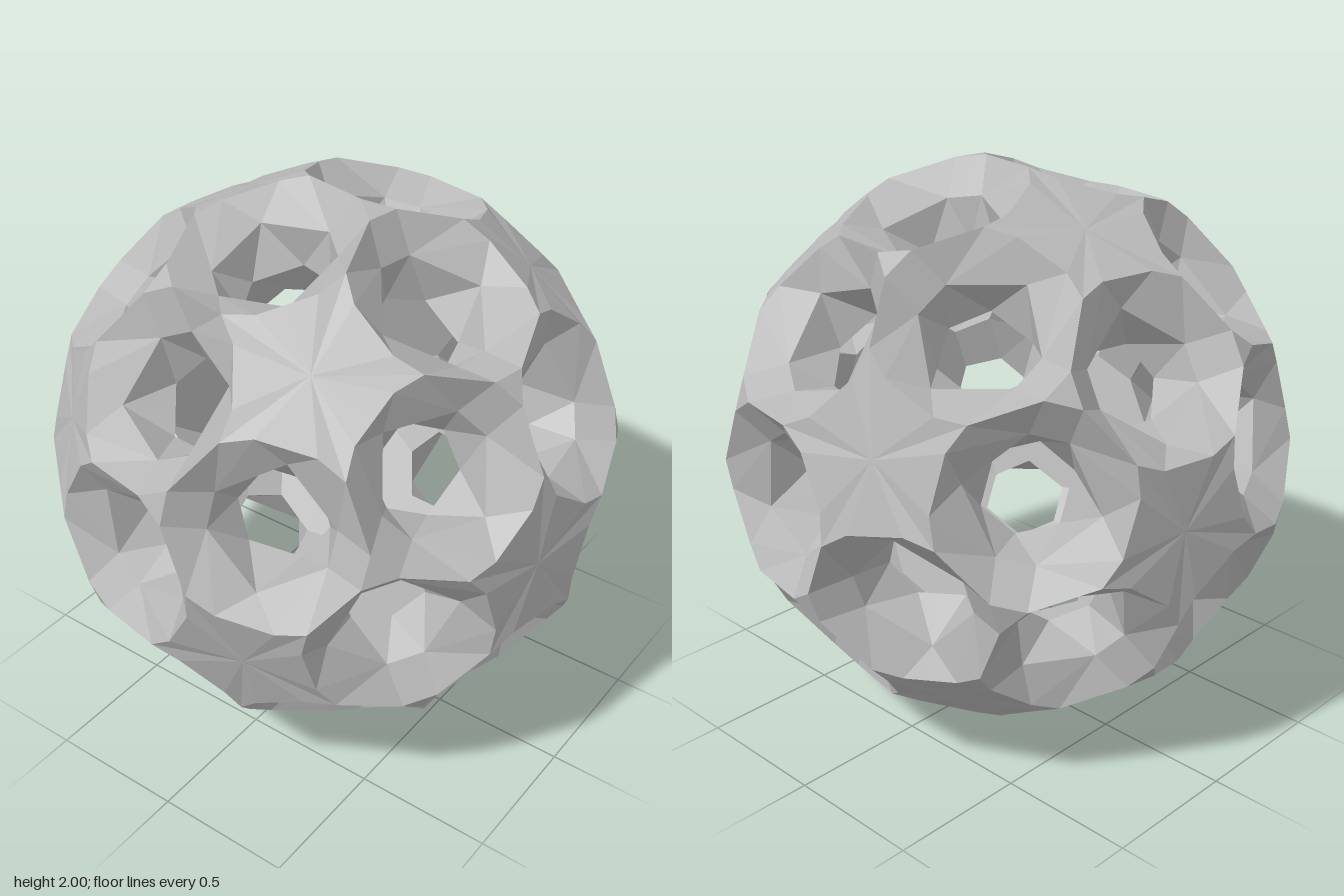
import * as THREE from 'three';

const V = (x, y, z) => new THREE.Vector3(x, y, z);

// Icosahedral axes, turned so that a rim edge lies at the top
function makeAxes() {
  const a = THREE.MathUtils.degToRad(10.3);
  const e1 = V(Math.cos(a), 0, Math.sin(a));
  const e2 = V(Math.sin(a), 0, -Math.cos(a));
  const p = (x, y, w) => e1.clone().multiplyScalar(x).addScaledVector(e2, w).add(V(0, y, 0));
  // five-fold axes: one along e2 and a ring of five around it, then the opposites
  const five = [p(0, 0, 1)];
  const s = 2 / Math.sqrt(5), c = 1 / Math.sqrt(5);
  for (let i = 0; i < 5; i++) {
    const t = Math.PI / 2 + i * Math.PI * 0.4;
    five.push(p(s * Math.cos(t), s * Math.sin(t), c));
  }
  five.push(...five.map(v => v.clone().negate()));
  const near = (v, w) => v.dot(w) > 0.4 && v.dot(w) < 0.5;
  const holes = [];
  for (let i = 0; i < 12; i++)
    for (let j = i + 1; j < 12; j++)
      if (near(five[i], five[j]))
        holes.push({ h: five[i].clone().add(five[j]).normalize(), f: five[i] });
  return holes;
}

function faceList() {
  const pos = [];
  // add a polygon whose normal agrees with the direction ref
  const add = (ref, ...pts) => {
    for (let i = 1; i < pts.length - 1; i++) {
      const [a, b, c] = [pts[0], pts[i], pts[i + 1]];
      const n = b.clone().sub(a).cross(c.clone().sub(a));
      const order = n.dot(ref) > 0 ? [a, b, c] : [a, c, b];
      order.forEach(q => pos.push(q.x, q.y, q.z));
    }
  };
  return { pos, add };
}

export function createModel() {
  const group = new THREE.Group();
  group.name = 'perforatedBall';
  const grey = new THREE.MeshStandardMaterial({ color: 0xb8b8b8, flatShading: true });
  grey.name = 'grey';

  const plates = faceList(), funnels = faceList(), throats = faceList(), inner = faceList();
  const C18 = Math.cos(Math.PI / 10), S18 = Math.sin(Math.PI / 10);
  const C36 = Math.cos(Math.PI / 5), S36 = Math.sin(Math.PI / 5);
  const CU = 0.525731, CV = 0.850651; // direction to a neighbouring hole in the rim plane
  const HALF = 0.12;                  // half length of an edge shared by two rims
  const RIM_U = 0.94;                 // depth of the rim beside a star
  const MID = 0.86, THROAT = 0.71;    // depths of the two hexagons in a hole

  for (const { h, f } of makeAxes()) {
    const u0 = f.clone().addScaledVector(h, -f.dot(h)).normalize();
    const v0 = h.clone().cross(u0);
    for (const su of [1, -1]) for (const sv of [1, -1]) {
      // each quadrant of a hole is a mirror image of the others
      const u = u0.clone().multiplyScalar(su), v = v0.clone().multiplyScalar(sv);
      const at = (x, y, d) => h.clone().multiplyScalar(d).addScaledVector(u, x).addScaledVector(v, y);
      const star = at(CU, 0, CV);
      const three = at(0, 0.356822, 0.934172);

      // rim, from the triangle side round to the star side
      const rimV0 = at(0, S18 * CV + HALF * CU, C18);
      const rimV = at(S18 * CU - HALF * CV, S18 * CV + HALF * CU, C18);
      const tip = at(S18 * CU + HALF * CV, S18 * CV - HALF * CU, C18);
      const rimU = at(0.305, 0.1, RIM_U);
      const rimU0 = at(0.305, 0, RIM_U);

      // upper hexagon, pointing at the stars
      const midV0 = at(0, 0.2, MID);
      const midV = at(0.065, 0.2, MID);
      const midU = at(0.225, 0, MID);

      // lower hexagon, turned by half a side
      const inV = at(0, 0.155, THROAT);
      const inU = at(0.13, 0.09, THROAT);
      const inU0 = at(0.13, 0, THROAT);

      // outer star and small triangle
      const starMid = star.clone().multiplyScalar(0.958);
      plates.add(star, starMid, tip, rimU);
      plates.add(star, starMid, rimU, rimU0);
      const triMid = three.clone().multiplyScalar(rimV.dot(three));
      plates.add(three, triMid, rimV0, rimV);

      // sloping funnel from the rim to the upper hexagon
      const toAxis = at(-CU, -CV, 0.3);
      funnels.add(toAxis, rimV0, rimV, midV, midV0);
      funnels.add(toAxis, midV, rimV, tip, rimU);
      funnels.add(toAxis, rimU, midU, midV);
      funnels.add(toAxis, rimU, rimU0, midU);

      // zigzag band of triangles between the hexagons
      throats.add(toAxis, midV0, midV, inV);
      throats.add(toAxis, midV, inU, inV);
      throats.add(toAxis, midV, midU, inU);
      throats.add(toAxis, midU, inU0, inU);

      // inside shell, reaching halfway to the neighbouring throat
      const n = at(CU * S36, CV * S36, C36).sub(h).normalize();
      const half = q => q.clone().addScaledVector(n, -q.dot(n));
      const inward = h.clone().negate();
      const halfV = half(inV), halfU = half(inU);
      const in5 = star.clone().multiplyScalar(inU.dot(star));
      const in3 = three.clone().multiplyScalar(inV.dot(three));
      inner.add(inward, inV, inU, halfU, halfV);
      inner.add(inward, in5, inU0, inU);
      inner.add(inward, in5, inU, halfU);
      inner.add(inward, in3, inV, halfV);
    }
  }

  const parts = { outerPlates: plates, funnelWalls: funnels, throatWalls: throats, innerShell: inner };
  for (const [name, part] of Object.entries(parts)) {
    const geo = new THREE.BufferGeometry();
    geo.setAttribute('position', new THREE.Float32BufferAttribute(part.pos, 3));
    geo.computeVertexNormals();
    const mesh = new THREE.Mesh(geo, grey);
    mesh.name = name;
    mesh.position.y = 1;
    group.add(mesh);
  }
  return group;
}
